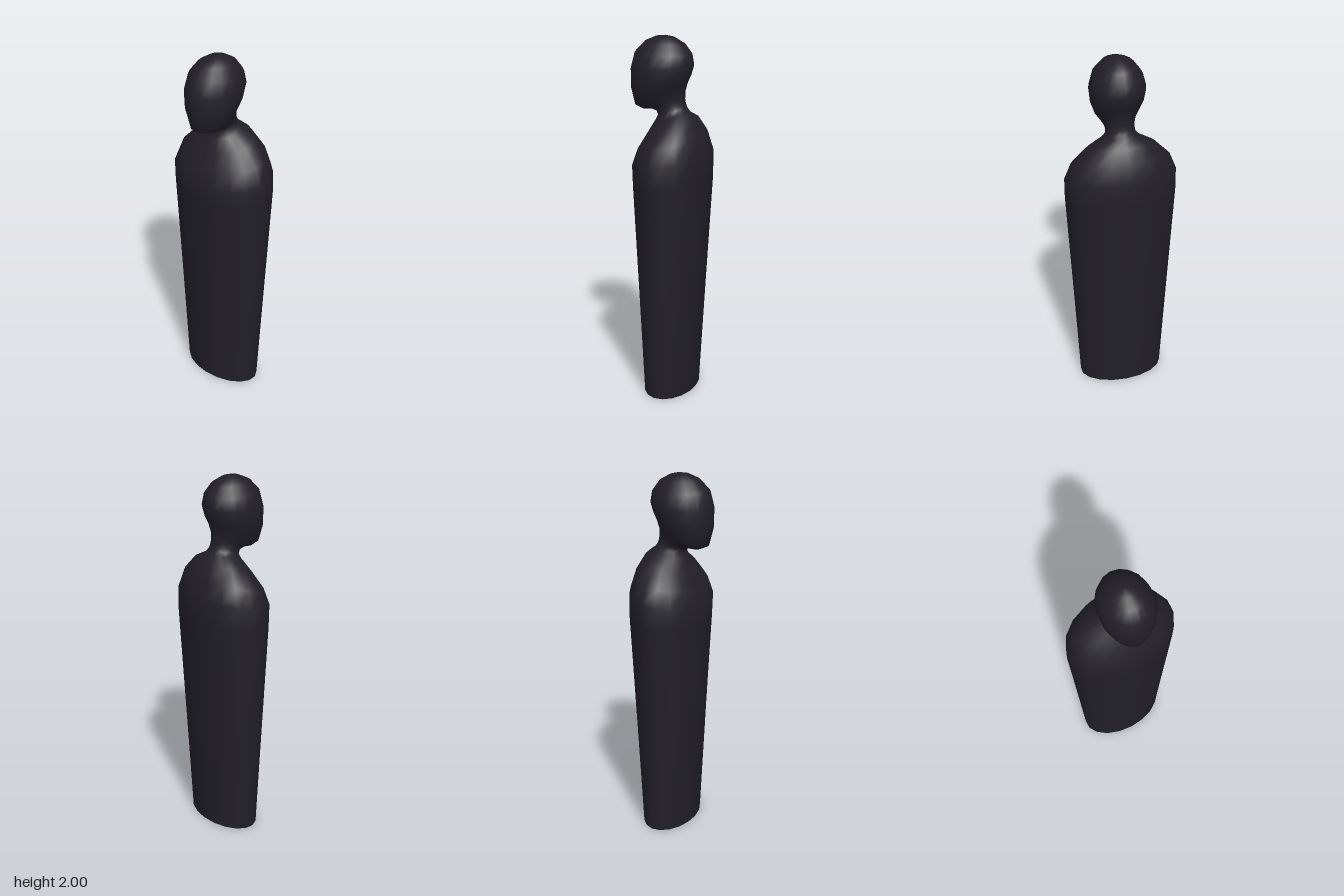
import * as THREE from 'three';

const SIDES = 18;

// Each ring: [front y, front z, back y, back z, half width]
const BODY = [
  [0, 0.135, 0, -0.15, 0.24],
  [0.6, 0.165, 0.6, -0.184, 0.272],
  [1.2, 0.196, 1.24, -0.221, 0.306],
  [1.3, 0.2, 1.38, -0.22, 0.306],
  [1.39, 0.17, 1.48, -0.19, 0.268],
  [1.48, 0.118, 1.56, -0.145, 0.185],
];
const NECK = [
  [1.545, 0.083, 1.593, -0.102, 0.098],
  [1.572, 0.07, 1.615, -0.087, 0.08],
  [1.594, 0.08, 1.635, -0.08, 0.077],
];
const HEAD = [
  [1.603, 0.11, 1.66, -0.076, 0.081],
  [1.598, 0.155, 1.7, -0.077, 0.092],
  [1.618, 0.2, 1.75, -0.09, 0.116],
  [1.71, 0.221, 1.79, -0.108, 0.14],
  [1.82, 0.222, 1.84, -0.123, 0.15],
  [1.91, 0.2, 1.9, -0.114, 0.13],
  [1.967, 0.145, 1.955, -0.075, 0.09],
  [1.993, 0.085, 1.987, -0.02, 0.044],
];

// Lofts tilted elliptical rings into one smooth skin, closed at the crown
function loft(rings, crown) {
  const pos = [], index = [];
  for (const [yF, zF, yB, zB, w] of rings) {
    for (let i = 0; i < SIDES; i++) {
      const a = (i / SIDES) * Math.PI * 2;
      const c = Math.cos(a);
      pos.push(
        w * Math.sin(a),
        (yF + yB) / 2 + ((yF - yB) / 2) * c,
        (zF + zB) / 2 + ((zF - zB) / 2) * c
      );
    }
  }
  const top = rings.length * SIDES;
  pos.push(...crown);
  for (let r = 0; r < rings.length; r++) {
    for (let i = 0; i < SIDES; i++) {
      const j = (i + 1) % SIDES;
      const a = r * SIDES + i, b = r * SIDES + j;
      if (r === rings.length - 1) index.push(a, b, top);
      else index.push(a, b, b + SIDES, a, b + SIDES, a + SIDES);
    }
  }
  const g = new THREE.BufferGeometry();
  g.setAttribute('position', new THREE.Float32BufferAttribute(pos, 3));
  g.setIndex(index);
  g.computeVertexNormals();
  return g;
}

export function createModel() {
  const model = new THREE.Group();
  model.name = 'hoodedFigure';
  const material = new THREE.MeshStandardMaterial({ color: 0x211e28 });

  // Cloaked body, neck and forward-leaning head as one skin
  const figure = new THREE.Mesh(loft([...BODY, ...NECK, ...HEAD], [0, 2, 0.03]), material);
  figure.name = 'cloakedBodyAndHead';
  model.add(figure);

  // Flat underside of the cloak
  const [, zF, , zB, w] = BODY[0];
  const disc = new THREE.CircleGeometry(1, SIDES);
  disc.rotateZ(Math.PI / 2).rotateX(Math.PI / 2);
  disc.scale(w, 1, (zF - zB) / 2).translate(0, 0, (zF + zB) / 2);
  const base = new THREE.Mesh(disc, material);
  base.name = 'cloakBase';
  model.add(base);

  return model;
}
